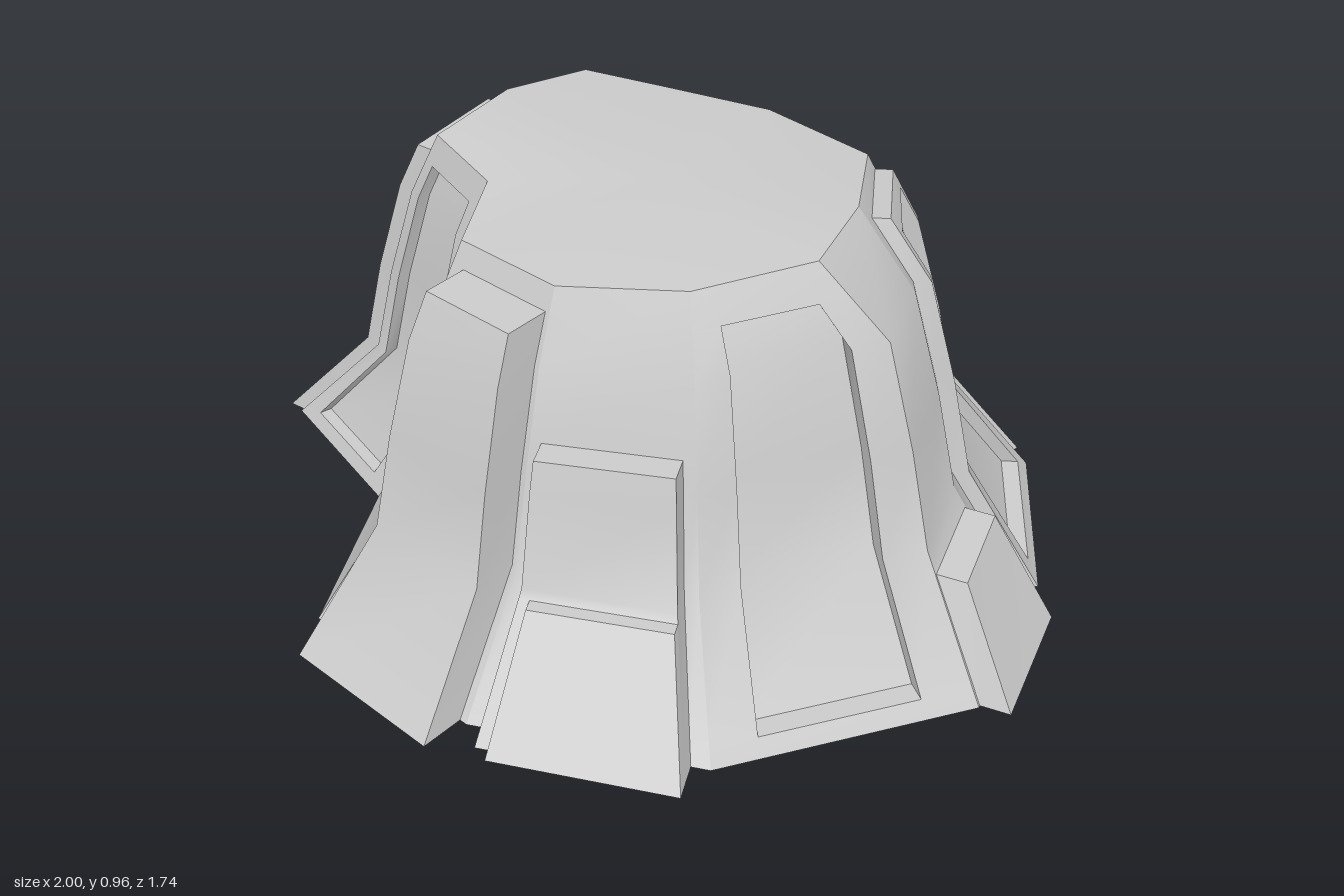
import * as THREE from 'three';
import { toCreasedNormals } from 'three/addons/utils/BufferGeometryUtils.js';

const material = new THREE.MeshStandardMaterial({ color: 0xcccccc, side: THREE.DoubleSide });
const lerp = THREE.MathUtils.lerp;

// Flared wall profile: [height fraction, outward fraction, share of the rib's bulge]
const PROFILE = [[0, 1, 0], [0.31, 0.48, 1], [0.56, 0.36, 1], [0.82, 0.2, 1], [1, 0, 0]];

function flare(v) {
  let i = 0;
  while (i < PROFILE.length - 2 && v > PROFILE[i + 1][0]) i++;
  const [a, fa, ba] = PROFILE[i], [b, fb, bb] = PROFILE[i + 1];
  const t = (v - a) / (b - a);
  return [lerp(fa, fb, t), lerp(ba, bb, t)];
}

// Ribs between wall sectors: top x, y, z, then bottom x, y, z, then mid-height bulge x, z
const RIBS = [
  [-0.52, 0.94, -0.17, -0.96, 0.02, -0.27, 0.015, 0],
  [-0.52, 0.94, 0.08, -0.96, 0.02, 0.17, 0.015, 0],
  [-0.33, 0.92, 0.14, -0.58, 0.02, 0.31, 0, 0],
  [-0.23, 0.92, 0.35, -0.41, 0.02, 0.71, 0, -0.01],
  [0.03, 0.92, 0.37, 0.07, 0.02, 0.77, 0, -0.01],
  [0.28, 0.94, 0.25, 0.57, 0.02, 0.575, 0, 0],
  [0.45, 0.965, 0.04, 0.93, 0, 0.07, 0.052, -0.06],
  [0.41, 0.965, -0.18, 0.86, 0.01, -0.26, 0.052, 0],
  [0.29, 0.93, -0.42, 0.59, 0.02, -0.7, 0, 0],
  [0, 0.92, -0.47, 0.01, 0.02, -0.83, 0, 0],
  [-0.24, 0.92, -0.42, -0.35, 0.02, -0.76, 0, 0],
  [-0.44, 0.93, -0.36, -0.8, 0.02, -0.64, 0, 0],
];

// A region on a wall: u and v bounds, offset d (raised or sunk), nested regions
const R = (u0, u1, v0, v1, d, kids = []) => ({ u0, u1, v0, v1, d, kids });

// One entry per sector, starting on the -x side and running past the front
const SECTORS = [
  ['rightWall', [R(0.02, 0.98, 0, 0.95, 0.04)]],
  ['rightFrontWall', [R(0.13, 0.85, 0.04, 0.92, -0.03)]],
  ['frontRightSlotWall', [R(0.2, 0.9, 0.34, 0.95, -0.05)]],
  ['frontButtress', [R(0.12, 0.96, 0, 0.94, 0.105)]],
  ['frontSteppedWall', [R(0.07, 0.92, 0, 0.64, 0.06, [R(0.13, 0.92, 0, 0.29, 0.09)])]],
  ['leftFrontWall', [R(0.18, 0.8, 0.04, 0.92, -0.05)]],
  ['leftWall', [R(0.02, 0.98, 0, 0.26, 0.07)]],
  ['leftBackWall', [R(0.13, 0.98, 0, 0.96, 0.04, [R(0.22, 0.91, 0.04, 0.92, 0)])]],
  ['backLeftWall', [R(0.03, 0.95, 0, 0.93, 0.02, [
    R(0.03, 0.95, 0, 0.68, 0.05, [R(0.1, 0.9, 0.05, 0.64, 0.01)]),
  ])]],
  ['backWall', [R(0.04, 0.96, 0, 0.66, 0.03), R(0.22, 0.7, 0.72, 0.95, -0.03)]],
  ['backRightSteppedWall', [R(0.02, 0.98, 0, 0.68, 0.04, [
    R(0.02, 0.98, 0, 0.3, 0.085),
    R(0.1, 0.87, 0.31, 0.65, 0.01),
  ])]],
  ['rightBackWall', [R(0.03, 0.97, 0, 0.68, 0.045), R(0.15, 0.85, 0.72, 0.97, -0.03)]],
];

function makeMesh(name, positions) {
  const geometry = new THREE.BufferGeometry();
  geometry.setAttribute('position', new THREE.Float32BufferAttribute(positions, 3));
  const mesh = new THREE.Mesh(toCreasedNormals(geometry, 0.6), material);
  mesh.name = name;
  return mesh;
}

function buildSector(name, a, b, kids) {
  const positions = [];
  const out = new THREE.Vector2(a[5] - b[5], b[3] - a[3]).normalize();

  // Point on the curved wall, pushed outwards by d
  const point = (u, v, d) => {
    const [f, bulge] = flare(v);
    const [tx, ty, tz, bx, by, bz, sx, sz] = a.map((n, i) => lerp(n, b[i], u));
    return [
      lerp(tx, bx, f) + sx * bulge + out.x * d,
      lerp(by, ty, v),
      lerp(tz, bz, f) + sz * bulge + out.y * d,
    ];
  };
  const quad = (p, q, r, s) => positions.push(...p, ...q, ...r, ...p, ...r, ...s);

  // Heights from v0 to v1 including every bend of the profile
  const rows = (v0, v1) => [v0, ...PROFILE.map((p) => p[0]).filter((v) => v > v0 && v < v1), v1];
  const eachRow = (v0, v1, draw) => {
    const vs = rows(v0, v1);
    for (let i = 0; i < vs.length - 1; i++) draw(vs[i], vs[i + 1]);
  };
  const strip = (u0, u1, v0, v1, d) => {
    if (u1 - u0 < 1e-4 || v1 - v0 < 1e-4) return;
    eachRow(v0, v1, (p, q) => quad(point(u0, p, d), point(u1, p, d), point(u1, q, d), point(u0, q, d)));
  };

  // Face of a region around its nested regions, then the returns joining them
  const region = ({ u0, u1, v0, v1, d, kids: inner }) => {
    let v = v0;
    for (const k of inner) {
      strip(u0, u1, v, k.v0, d);
      strip(u0, k.u0, k.v0, k.v1, d);
      strip(k.u1, u1, k.v0, k.v1, d);
      v = k.v1;
      eachRow(k.v0, k.v1, (p, q) => {
        quad(point(k.u0, p, d), point(k.u0, p, k.d), point(k.u0, q, k.d), point(k.u0, q, d));
        quad(point(k.u1, p, k.d), point(k.u1, p, d), point(k.u1, q, d), point(k.u1, q, k.d));
      });
      quad(point(k.u0, k.v1, k.d), point(k.u1, k.v1, k.d), point(k.u1, k.v1, d), point(k.u0, k.v1, d));
      if (k.v0 > 0) {
        quad(point(k.u0, k.v0, d), point(k.u1, k.v0, d), point(k.u1, k.v0, k.d), point(k.u0, k.v0, k.d));
      }
      region(k);
    }
    strip(u0, u1, v, v1, d);
  };
  region(R(0, 1, 0, 1, 0, kids));
  return makeMesh(name, positions);
}

export function createModel() {
  const group = new THREE.Group();
  group.name = 'flaredTower';

  // Panelled outer walls, open underneath
  SECTORS.forEach(([name, kids], i) => {
    group.add(buildSector(name, RIBS[i], RIBS[(i + 1) % RIBS.length], kids));
  });

  // Gently domed roof
  const roof = [];
  RIBS.forEach((rib, i) => {
    const next = RIBS[(i + 1) % RIBS.length];
    roof.push(0, 0.955, -0.03, ...rib.slice(0, 3), ...next.slice(0, 3));
  });
  group.add(makeMesh('roof', roof));
  return group;
}
